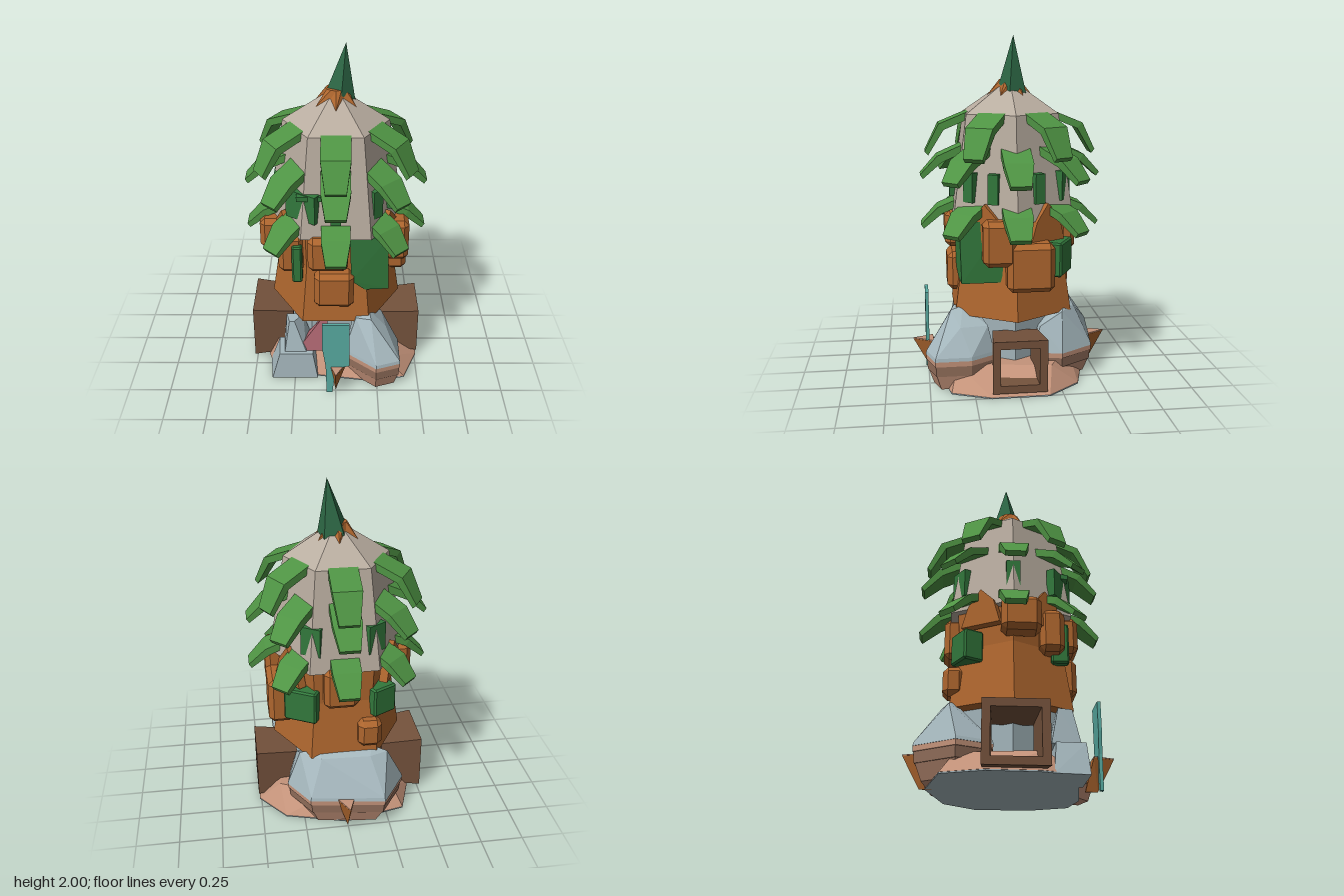
import * as THREE from 'three';
import { ConvexGeometry } from 'three/addons/geometries/ConvexGeometry.js';

const C = {
  stone: 0xb9ada0, leaf: 0x4f9444, green: 0x32783c, spire: 0x2c6644, orange: 0xae662e,
  slate: 0xa6b8be, tan: 0xc4937a, band: 0x94705c, brown: 0x74523c, teal: 0x58aaa0, coral: 0xb46a74,
};
const mats = {};
for (const k in C) mats[k] = new THREE.MeshStandardMaterial({ color: C[k], flatShading: true, side: THREE.DoubleSide });

export function createModel() {
  const root = new THREE.Group();
  const deg = Math.PI / 180;
  const add = (name, geo, color, x = 0, y = 0, z = 0, ry = 0) => {
    const m = new THREE.Mesh(geo, mats[color]);
    m.name = name;
    m.position.set(x, y, z);
    m.rotation.y = ry;
    root.add(m);
  };
  // Six-sided frustum with corners on the x axis
  const hex = (name, color, rTop, rBot, y0, y1) =>
    add(name, new THREE.CylinderGeometry(rTop, rBot, y1 - y0, 6), color, 0, (y0 + y1) / 2, 0, Math.PI / 6);
  // Faceted solid spanning horizontal outlines: [y, [x, z], [x, z], ...]
  const hull = (name, color, ...levels) => add(name, new ConvexGeometry(
    levels.flatMap(([y, ...pts]) => pts.map(([x, z]) => new THREE.Vector3(x, y, z)))), color);
  // Block with flat chamfers of size c
  const block = (name, color, w, h, d, x, y, z, ry = 0, c = 0.03) => {
    const pts = [];
    for (const i of [-0.5, 0.5]) for (const j of [-0.5, 0.5]) for (const k of [-0.5, 0.5])
      for (const axis of [0, 1, 2]) {
        const s = [w, h, d].map((v, n) => (n === axis ? v : v - 2 * c));
        pts.push(new THREE.Vector3(i * s[0], j * s[1], k * s[2]));
      }
    add(name, new ConvexGeometry(pts), color, x, y, z, ry);
  };

  // Trunk and stone dome
  hex('trunk', 'orange', 0.34, 0.395, 0.4, 0.75);
  hex('trunkTop', 'orange', 0.35, 0.34, 0.75, 0.98);
  hex('domeWall', 'stone', 0.305, 0.4, 0.97, 1.56);
  hex('domeRoof', 'stone', 0.04, 0.305, 1.56, 1.73);

  // Pointed bark plates rising over the dome's lower edge
  for (const a of [60, 120, 240, 300]) {
    const p = new THREE.Shape([[-0.12, -0.12], [0.12, -0.12], [0.08, 0.02], [0, 0.1], [-0.08, 0]]
      .map(q => new THREE.Vector2(...q)));
    add('barkPlate', new THREE.ExtrudeGeometry(p, { depth: 0.05, bevelEnabled: false }), 'orange',
      Math.sin(a * deg) * 0.315, 0.97, Math.cos(a * deg) * 0.315, a * deg);
  }

  // Spire and its star collar
  const spire = new THREE.ConeGeometry(0.095, 0.33, 5);
  spire.translate(0, 0.165, 0);
  const sp = spire.attributes.position;
  for (let i = 0; i < sp.count; i++) {
    const up = sp.getY(i) / 0.33;
    sp.setX(i, sp.getX(i) + up * 0.03);
    sp.setY(i, sp.getY(i) - (1 - up) * sp.getX(i) * 0.4);
  }
  add('spire', spire, 'spire', 0.025, 1.67, -0.015);
  const star = new THREE.CylinderGeometry(0.06, 0.13, 0.09, 12);
  const st = star.attributes.position;
  for (let i = 0; i < st.count; i++) {
    const x = st.getX(i), z = st.getZ(i);
    if (Math.hypot(x, z) < 0.1) continue;
    const notch = Math.round(Math.atan2(x, z) / (Math.PI / 6)) & 1;
    if (notch) st.setXYZ(i, x * 0.62, st.getY(i) + 0.03, z * 0.62);
  }
  add('starCollar', star, 'orange', 0, 1.705, 0);

  // Drooping leaves: a bent slab, narrower at the tip
  const leaf = (y, angle, reach, drops) => {
    const width = [0.165, 0.165, 0.115], thick = [0.045, 0.045, 0.03];
    const g = new THREE.BoxGeometry(1, 1, 2, 1, 1, 2), p = g.attributes.position;
    const slope = drops[2] / (reach[2] - reach[0]), len = Math.hypot(slope, 1);
    for (let i = 0; i < p.count; i++) {
      const k = Math.round(p.getZ(i)) + 1, h = (p.getY(i) - 0.5) * thick[k];
      p.setXYZ(i, p.getX(i) * width[k], h / len - drops[k], reach[k] + (h * slope) / len);
    }
    add('leaf', g, 'leaf', 0, y, 0, angle * deg);
  };
  // Upper tier of six, then two spreading tiers of eight
  for (let a = 0; a < 360; a += 60) leaf(1.57, a, [0.25, 0.42, 0.5], [0, 0.07, 0.23]);
  for (let a = 0; a < 360; a += 45) {
    leaf(1.395, a, [0.25, 0.43, 0.53], [0, 0.08, 0.19]);
    leaf(1.085, a, [0.26, 0.43, 0.53], [0, 0.07, 0.175]);
  }

  // Dark green growth on the dome and trunk
  for (const [a, w] of [[-34, 0.2], [0, 0.06], [42, 0.07], [68, 0.06], [112, 0.06], [148, 0.12], [212, 0.12], [270, 0.08]])
    add('mossPatch', new THREE.BoxGeometry(w, 0.17, 0.05), 'green',
      Math.sin(a * deg) * 0.335, 1.155, Math.cos(a * deg) * 0.335, a * deg);
  add('mossTwig', new THREE.BoxGeometry(0.14, 0.03, 0.04), 'green', -0.15, 1.22, 0.31);
  hull('largeMoss', 'green',
    [0.97, [0.08, 0.33], [0.3, 0.32], [0.31, 0.06], [0.1, 0.06]],
    [0.68, [0.09, 0.33]],
    [0.615, [0.17, 0.32], [0.31, 0.31], [0.31, 0.08], [0.15, 0.08]]);
  block('moss', 'green', 0.2, 0.2, 0.12, 0.23, 0.74, -0.25, -0.5, 0.01);
  block('moss', 'green', 0.16, 0.18, 0.12, -0.22, 0.74, -0.25, 0.5, 0.01);
  block('moss', 'green', 0.06, 0.24, 0.1, -0.225, 0.78, 0.27, 0, 0.01);

  // Chamfered wooden knots
  for (const [w, h, d, x, y, z] of [
    [0.23, 0.22, 0.14, -0.045, 0.88, 0.32], [0.23, 0.23, 0.12, -0.01, 0.63, 0.32],
    [0.15, 0.2, 0.22, -0.375, 0.88, 0.04], [0.15, 0.28, 0.27, 0.355, 0.72, -0.075],
    [0.14, 0.26, 0.19, 0.36, 0.86, 0.1], [0.2, 0.25, 0.12, 0.02, 0.87, -0.32],
    [0.14, 0.17, 0.12, -0.15, 0.555, -0.32], [0.15, 0.25, 0.14, -0.26, 0.83, 0.22],
  ]) block('knot', 'orange', w, h, d, x, y, z);

  // Ground slab with a slate underside
  const footprint = [[-0.43, 0.14], [-0.37, 0.33], [-0.1, 0.36], [0.22, 0.42], [0.42, 0.38], [0.51, 0.16],
    [0.51, -0.17], [0.36, -0.36], [0, -0.46], [-0.36, -0.38], [-0.44, -0.15]];
  hull('groundSlab', 'tan', [0.008, ...footprint],
    [0.13, [-0.36, 0.16], [-0.1, 0.28], [0.3, 0.34], [0.38, -0.2], [0.1, -0.34], [-0.3, -0.3]]);
  hull('underside', 'slate', [0, ...footprint], [0.007, ...footprint]);
  hex('core', 'slate', 0.3, 0.28, 0.1, 0.41);

  // Large boulders, each with a rim, a band and a tan foot
  const boulder = (outline, top) => {
    const n = outline.length;
    const cx = outline.reduce((s, p) => s + p[0] / n, 0), cz = outline.reduce((s, p) => s + p[1] / n, 0);
    const scaled = k => outline.map(([x, z]) => [cx + (x - cx) * k, cz + (z - cz) * k]);
    hull('boulder', 'slate', [0.18, ...outline], [0.2, ...scaled(0.98)], ...top);
    hull('boulderRim', 'tan', [0.15, ...scaled(0.99)], [0.18, ...scaled(0.99)]);
    hull('boulderBand', 'band', [0.09, ...scaled(0.95)], [0.15, ...scaled(0.97)]);
    hull('boulderFoot', 'tan', [0.004, ...scaled(0.78)], [0.09, ...scaled(0.93)]);
  };
  boulder([[-0.37, -0.3], [-0.22, -0.525], [0.22, -0.465], [0.34, -0.27], [0.3, -0.1], [-0.28, -0.1]],
    [[0.41, [-0.26, -0.34], [-0.15, -0.38], [0.14, -0.37], [0.26, -0.28]], [0.44, [-0.17, -0.31], [0.15, -0.31]],
      [0.33, [0.27, -0.15]]]);
  boulder([[0.05, 0.36], [0.24, 0.52], [0.385, 0.47], [0.385, 0.26], [0.3, 0.12], [0.12, 0.18]],
    [[0.43, [0.12, 0.35], [0.21, 0.37]], [0.45, [0.12, 0.25], [0.2, 0.3]], [0.35, [0.3, 0.32], [0.28, 0.16]]]);

  // Smaller stones and coral at the front left
  hull('lowStone', 'slate',
    [0, [-0.41, 0.2], [-0.39, 0.39], [-0.11, 0.39], [-0.11, 0.2]],
    [0.18, [-0.35, 0.22], [-0.34, 0.38], [-0.14, 0.38], [-0.13, 0.22]]);
  hull('upperStone', 'slate',
    [0.18, [-0.32, 0.2], [-0.31, 0.36], [-0.18, 0.36], [-0.15, 0.2]],
    [0.38, [-0.3, 0.24], [-0.28, 0.32], [-0.25, 0.32], [-0.2, 0.24]]);
  hull('coral', 'coral',
    [0.18, [-0.24, 0.35], [-0.05, 0.35], [-0.05, 0.2], [-0.2, 0.2]],
    [0.4, [-0.09, 0.33], [-0.05, 0.33], [-0.05, 0.24]]);

  // Flared square window tunnels on both sides
  const windowFrame = (side, half, y0, y1) => {
    const cy = (y0 + y1) / 2, hh = (y1 - y0) / 2, t = 0.045;
    const rect = (P, a, b) => new P([[-a, -b], [a, -b], [a, b], [-a, b]].map(p => new THREE.Vector2(...p)));
    const s = rect(THREE.Shape, half, hh);
    s.holes.push(rect(THREE.Path, half - t, hh - t));
    const g = new THREE.ExtrudeGeometry(s, { depth: 0.25, bevelEnabled: false }), p = g.attributes.position;
    for (let i = 0; i < p.count; i++) {
      const k = 0.85 + 0.15 * (p.getZ(i) / 0.25);
      p.setXY(i, p.getX(i) * k, p.getY(i) * k);
    }
    add('windowFrame', g, 'brown', side * 0.265, cy, 0, side * Math.PI / 2);
  };
  windowFrame(1, 0.155, 0.03, 0.335);
  windowFrame(-1, 0.175, 0.01, 0.355);

  // Upturned horns with pale tops at front and back
  for (const s of [1, -1]) {
    const rim = [[0, s * 0.59], [-0.045, s * 0.47], [0.065, s * 0.47]];
    hull('horn', 'orange', [0.185, ...rim], [0, [0, s * 0.49], [-0.01, s * 0.42], [0.01, s * 0.42]]);
    hull('hornTop', 'tan', [0.186, ...rim], [0.192, ...rim]);
  }

  // Thin hanging banner
  const b = new THREE.Shape([[-0.08, 0.5], [-0.08, 0.33], [-0.06, 0.2], [-0.055, 0], [-0.02, 0],
    [0, 0.18], [0.08, 0.2], [0.08, 0.5]].map(p => new THREE.Vector2(...p)));
  add('banner', new THREE.ExtrudeGeometry(b, { depth: 0.02, bevelEnabled: false }), 'teal', 0, 0, 0.495);

  return root;
}
